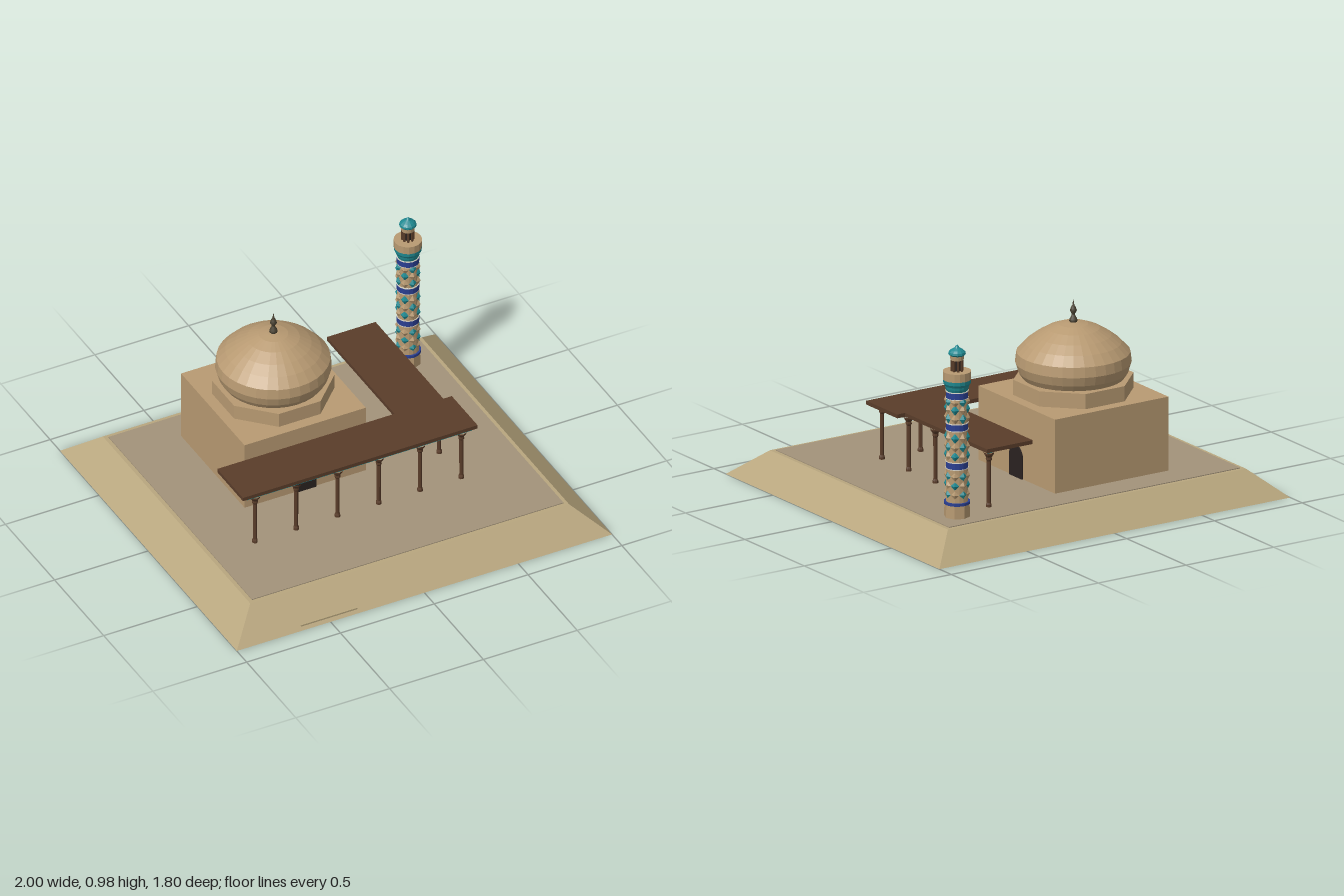
import * as THREE from 'three';

const mat = (color, extra = {}) => new THREE.MeshStandardMaterial({ color, ...extra });
const MAT = {
  earth: mat(0xb8a67e, { flatShading: true, side: THREE.DoubleSide }),
  paving: mat(0xa3937a),
  sand: mat(0xb89a72, { flatShading: true }),
  wood: mat(0x5a3d2a, { flatShading: true }),
  dark: mat(0x2a2220, { side: THREE.DoubleSide }),
  bronze: mat(0x4a4232),
  teal: mat(0x1f8a92, { flatShading: true }),
  blue: mat(0x2a3f92, { flatShading: true }),
  white: mat(0xd8d4c8, { flatShading: true }),
};
const FLOOR = 0.13;

function add(parent, name, geometry, material, x = 0, y = 0, z = 0) {
  const mesh = new THREE.Mesh(geometry, material);
  mesh.name = name;
  mesh.position.set(x, y, z);
  parent.add(mesh);
  return mesh;
}

// Box given by its limits on each axis
function block(parent, name, material, [x0, x1], [y0, y1], [z0, z1]) {
  return add(parent, name, new THREE.BoxGeometry(x1 - x0, y1 - y0, z1 - z0), material,
    (x0 + x1) / 2, (y0 + y1) / 2, (z0 + z1) / 2);
}

// Turned part from [radius, height] pairs
const lathe = (points, sides) =>
  new THREE.LatheGeometry(points.map(([r, y]) => new THREE.Vector2(r, y)), sides);

function group(parent, name, x = 0, y = 0, z = 0) {
  const g = new THREE.Group();
  g.name = name;
  g.position.set(x, y, z);
  parent.add(g);
  return g;
}

function buildTerrace(root) {
  const terrace = group(root, 'terrace');

  // Sloped mound, open underneath
  const geo = new THREE.BoxGeometry(2, FLOOR, 1.8);
  const pos = geo.attributes.position;
  for (let i = 0; i < pos.count; i++) {
    if (pos.getY(i) > 0) {
      pos.setX(i, Math.sign(pos.getX(i)) * 0.85);
      pos.setZ(i, Math.sign(pos.getZ(i)) * 0.75);
    }
  }
  geo.setIndex([...geo.index.array].filter((_, i) => i < 18 || i >= 24));
  geo.clearGroups();
  geo.computeVertexNormals();
  add(terrace, 'mound', geo, MAT.earth, 0, FLOOR / 2, 0);
  block(terrace, 'paving', MAT.paving, [-0.83, 0.83], [FLOOR - 0.002, FLOOR + 0.004], [-0.73, 0.73]);

  // Steps set into the front slope
  for (let i = 0; i < 5; i++) {
    block(terrace, 'step', MAT.earth, [-0.65, -0.35], [0, 0.021 * (i + 1)], [0.67, 0.885 - i * 0.042]);
  }
}

// Pointed doorway panel standing on its own base line
function doorGeometry() {
  const w = 0.055, spring = 0.105, top = 0.168;
  const s = new THREE.Shape();
  s.moveTo(-w, 0);
  s.lineTo(w, 0);
  s.lineTo(w, spring);
  s.quadraticCurveTo(w * 0.9, top - 0.018, 0, top);
  s.quadraticCurveTo(-w * 0.9, top - 0.018, -w, spring);
  s.closePath();
  return new THREE.ExtrudeGeometry(s, { depth: 0.01, bevelEnabled: false, curveSegments: 6 });
}

function buildHall(root) {
  const hall = group(root, 'domedHall', -0.2, 0, -0.255);
  block(hall, 'hallWalls', MAT.sand, [-0.323, 0.323], [FLOOR, 0.5], [-0.323, 0.323]);

  // Octagonal drum with flat sides to the axes
  const drum = add(hall, 'drum', new THREE.CylinderGeometry(0.29, 0.29, 0.075, 8), MAT.sand, 0, 0.5375, 0);
  drum.rotation.y = Math.PI / 8;

  // Swelling dome
  add(hall, 'dome', lathe([
    [0, 0.574], [0.243, 0.576], [0.262, 0.605], [0.276, 0.65], [0.27, 0.7], [0.228, 0.745],
    [0.18, 0.782], [0.125, 0.815], [0.07, 0.836], [0.03, 0.843], [0, 0.845],
  ], 32), MAT.sand);

  add(hall, 'finial', lathe([
    [0.012, 0.838], [0.02, 0.848], [0.018, 0.86], [0.008, 0.878], [0.008, 0.884], [0.017, 0.9],
    [0.012, 0.914], [0.005, 0.928], [0, 0.957],
  ], 12), MAT.bronze);

  // Doorways in the front and left walls
  const door = doorGeometry();
  add(hall, 'frontDoor', door, MAT.dark, 0, FLOOR, 0.321);
  add(hall, 'sideDoor', door, MAT.dark, 0.321, FLOOR, 0).rotation.y = Math.PI / 2;
}

function buildColonnade(root) {
  const colonnade = group(root, 'colonnade');
  block(colonnade, 'frontRoof', MAT.wood, [-0.68, 0.57], [0.411, 0.43], [0.09, 0.352]);
  block(colonnade, 'sideRoof', MAT.wood, [0.265, 0.525], [0.411, 0.43], [-0.6, 0.09]);
  block(colonnade, 'frontRoofTrim', MAT.teal, [-0.655, 0.545], [0.403, 0.411], [0.315, 0.345]);
  block(colonnade, 'sideRoofTrim', MAT.teal, [0.48, 0.51], [0.403, 0.411], [-0.585, 0.315]);

  // Slender posts with flared capitals
  const post = lathe([
    [0.014, FLOOR], [0.014, 0.145], [0.01, 0.155], [0.0105, 0.36], [0.015, 0.368],
    [0.014, 0.38], [0.024, 0.395], [0.025, 0.404],
  ], 8);
  const spots = [];
  for (let i = 0; i < 6; i++) spots.push([-0.605 + i * 0.22, 0.33]);
  for (let i = 1; i < 5; i++) spots.push([0.495, 0.33 - i * 0.225]);
  for (const [x, z] of spots) add(colonnade, 'post', post, MAT.wood, x, 0, z);
}

function buildTower(root) {
  const tower = group(root, 'tower', 0.7, 0, -0.605);
  const ring = (name, material, r0, r1, y0, y1, sides = 16) =>
    add(tower, name, new THREE.CylinderGeometry(r1, r0, y1 - y0, sides), material, 0, (y0 + y1) / 2, 0);

  ring('towerBase', MAT.sand, 0.062, 0.061, FLOOR, 0.2, 8);
  ring('towerShaft', MAT.sand, 0.054, 0.049, 0.2, 0.77);
  ring('baseBand', MAT.blue, 0.063, 0.063, 0.198, 0.211);

  // Glazed blue bands with pale edges
  for (const y of [0.392, 0.582, 0.738]) {
    ring('glazedBand', MAT.blue, 0.054, 0.054, y - 0.016, y + 0.016);
    for (const s of [-1, 1]) ring('bandEdge', MAT.white, 0.055, 0.055, y + s * 0.017 - 0.002, y + s * 0.017 + 0.002);
  }

  // Staggered rows of diamond studs
  const stud = new THREE.OctahedronGeometry(1);
  [0.25, 0.295, 0.34, 0.44, 0.485, 0.53, 0.625, 0.67, 0.708].forEach((y, row) => {
    for (let i = 0; i < 8; i++) {
      const a = (i * Math.PI) / 4;
      const tealStud = (i + row) % 2 === 0;
      const m = add(tower, 'diamondStud', stud, tealStud ? MAT.teal : MAT.sand,
        Math.sin(a) * 0.05, y, Math.cos(a) * 0.05);
      m.rotation.y = a;
      m.scale.set(0.02, 0.026, 0.013);
    }
  });

  // Flared gallery
  add(tower, 'galleryFlare', lathe([
    [0.05, 0.755], [0.056, 0.77], [0.058, 0.782], [0.066, 0.795], [0.067, 0.812], [0.05, 0.815],
  ], 16), MAT.teal);
  ring('galleryParapet', MAT.sand, 0.067, 0.068, 0.812, 0.853);

  // Open lantern with a glazed cap
  ring('lanternCore', MAT.dark, 0.016, 0.016, 0.85, 0.935, 8);
  for (let i = 0; i < 8; i++) {
    const a = ((i + 0.5) * Math.PI) / 4;
    add(tower, 'lanternPost', new THREE.CylinderGeometry(0.006, 0.006, 0.07, 6), MAT.wood,
      Math.sin(a) * 0.026, 0.885, Math.cos(a) * 0.026);
  }
  ring('lanternRing', MAT.sand, 0.032, 0.034, 0.908, 0.93);
  add(tower, 'lanternCap', lathe([
    [0, 0.927], [0.034, 0.929], [0.042, 0.937], [0.04, 0.947], [0.03, 0.957], [0.013, 0.967],
    [0.008, 0.974], [0, 0.982],
  ], 12), MAT.teal);
}

export function createModel() {
  const root = new THREE.Group();
  root.name = 'domedHallComplex';
  buildTerrace(root);
  buildHall(root);
  buildColonnade(root);
  buildTower(root);
  return root;
}
